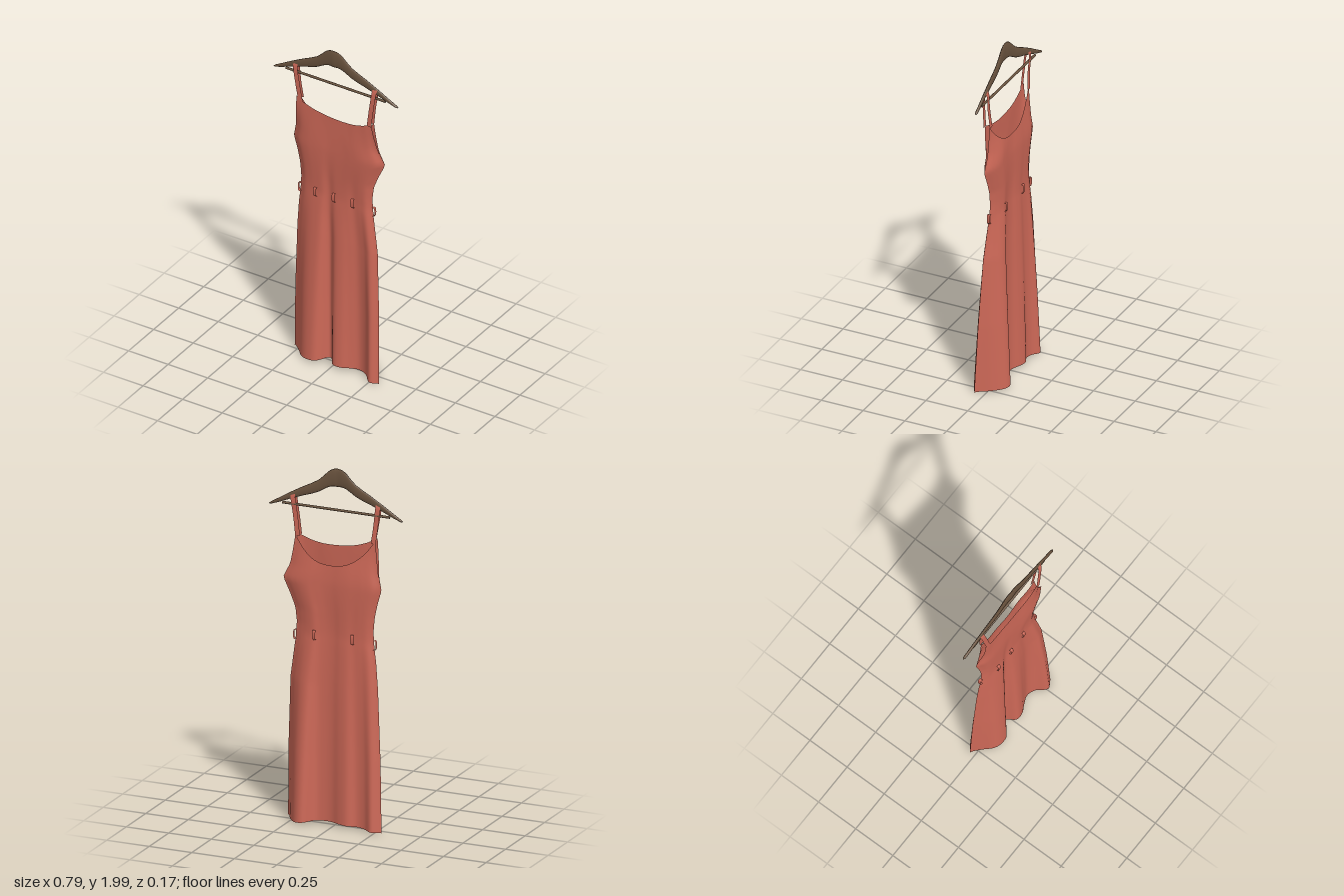
import * as THREE from 'three';

const V = (x, y, z) => new THREE.Vector3(x, y, z);
const { lerp, smoothstep } = THREE.MathUtils;

// Piecewise-linear lookup in rows of [key, ...values]
function lookup(rows, k, col) {
  for (let i = 1; i < rows.length; i++) {
    if (k <= rows[i][0]) {
      const a = rows[i - 1], b = rows[i];
      return lerp(a[col], b[col], Math.max(0, (k - a[0]) / (b[0] - a[0])));
    }
  }
  return rows[rows.length - 1][col];
}

// Grid surface: fn(u, v) gives a point, u runs across and v upwards
function surface(cols, rows, fn, closed = false) {
  const pos = [], idx = [], n = closed ? cols : cols + 1;
  for (let j = 0; j <= rows; j++)
    for (let i = 0; i < n; i++) pos.push(...fn(i / cols, j / rows).toArray());
  for (let j = 0; j < rows; j++)
    for (let i = 0; i < cols; i++) {
      const a = j * n + i, b = j * n + (i + 1) % n, c = a + n, d = b + n;
      idx.push(a, b, d, a, d, c);
    }
  const g = new THREE.BufferGeometry();
  g.setAttribute('position', new THREE.Float32BufferAttribute(pos, 3));
  g.setIndex(idx);
  g.computeVertexNormals();
  return g;
}

// Flat band along a curve, widened in one fixed direction
function ribbon(points, across, width, steps = 24) {
  const curve = new THREE.CatmullRomCurve3(points);
  return surface(2, steps, (u, v) => curve.getPoint(v).addScaledVector(across, (u - 0.5) * width));
}

const profile = (zs) => {
  const c = new THREE.SplineCurve(zs.map((z, i) => new THREE.Vector2(i, z)));
  return (u) => c.getPoint(u).y;
};

// Side edges of the dress: height, right edge x, left edge x
const outline = [
  [0, -0.285, 0.305], [0.4, -0.275, 0.295], [0.8, -0.255, 0.274], [0.95, -0.242, 0.25],
  [1.04, -0.229, 0.235], [1.12, -0.224, 0.228], [1.2, -0.231, 0.236], [1.28, -0.248, 0.268],
  [1.36, -0.271, 0.306], [1.4, -0.262, 0.287], [1.44, -0.252, 0.266], [1.52, -0.243, 0.25],
  [1.6, -0.235, 0.237], [1.65, -0.232, 0.235],
];

// Depth of each panel across its width at hem, waist, bust and neckline
const panels = {
  front: {
    hem: profile([-0.03, 0.01, 0.06, 0.078, 0.068, 0.002, 0.058, 0.06, 0.035, 0.018, 0.035, 0.083, 0.06]),
    waist: profile([0, 0.018, 0.025, 0.028, 0.028, 0.018, 0.025, 0.026, 0.024, 0.018, 0.02, 0.02, 0.005]),
    bust: profile([0, 0.026, 0.036, 0.038, 0.037, 0.034, 0.034, 0.035, 0.038, 0.039, 0.035, 0.024, 0]),
    top: profile([0.034, 0.036, 0.034, 0.032, 0.03, 0.03, 0.03, 0.03, 0.03, 0.032, 0.032, 0.032, 0.028]),
    neck: (u) => lerp(1.64, 1.612, u) - 0.056 * (1 - Math.pow(Math.abs(2 * u - 1), 2.4)),
  },
  back: {
    hem: profile([-0.03, -0.062, -0.036, -0.03, -0.05, -0.042, -0.022, -0.018, -0.03, -0.084, -0.078, -0.02, 0.06]),
    waist: profile([0, -0.012, -0.015, -0.016, -0.02, -0.018, -0.012, -0.012, -0.018, -0.027, -0.022, -0.01, 0.005]),
    bust: profile([0, -0.018, -0.024, -0.026, -0.028, -0.027, -0.024, -0.025, -0.03, -0.034, -0.03, -0.018, 0]),
    top: profile([0.005, 0, -0.004, -0.008, -0.012, -0.014, -0.014, -0.014, -0.012, -0.01, -0.006, -0.002, 0.002]),
    neck: (u) => lerp(1.635, 1.61, u) - 0.155 * (1 - Math.pow(Math.abs(2 * u - 1), 2.2)),
  },
};

function depth(p, u, y) {
  if (y < 1.06) return lerp(p.waist(u), p.hem(u), Math.pow((1.06 - y) / 1.06, 0.8));
  if (y < 1.37) return lerp(p.waist(u), p.bust(u), smoothstep(y, 1.06, 1.37));
  return lerp(p.bust(u), p.top(u), smoothstep(y, 1.35, 1.6));
}

function panelPoint(p, u, v) {
  const y = lerp(0.006 + 0.02 * Math.sin(Math.PI * u), p.neck(u), v);
  return V(lerp(lookup(outline, y, 1), lookup(outline, y, 2), u), y, depth(p, u, y));
}

// Hanger arm: |x|, top y, bottom y
const arch = [
  [0, 2.0, 1.897], [0.025, 1.997, 1.899], [0.05, 1.983, 1.893], [0.08, 1.952, 1.876], [0.11, 1.925, 1.858],
  [0.15, 1.902, 1.842], [0.2, 1.877, 1.826], [0.27, 1.838, 1.8], [0.34, 1.796, 1.772], [0.385, 1.769, 1.757], [0.393, 1.762, 1.759],
];

export function createModel() {
  const fabric = new THREE.MeshStandardMaterial({ color: 0xcd6857, side: THREE.DoubleSide });
  fabric.name = 'coral fabric';
  const wood = new THREE.MeshStandardMaterial({ color: 0x6b543f });
  wood.name = 'brown wood';

  const model = new THREE.Group();
  model.name = 'dressOnHanger';
  const add = (name, geometry, material) => {
    const m = new THREE.Mesh(geometry, material);
    m.name = name;
    model.add(m);
    return m;
  };

  // Dress panels, joined at the side seams and open at hem, neck and armholes
  add('frontPanel', surface(72, 72, (u, v) => panelPoint(panels.front, u, v)), fabric);
  add('backPanel', surface(72, 72, (u, v) => panelPoint(panels.back, 1 - u, v)), fabric);

  // Shoulder straps looped over the hanger
  for (const [name, side, hangX, frontX, backX, low] of [
    ['rightStrap', -1, -0.248, -0.207, -0.222, 1.615],
    ['leftStrap', 1, 0.255, 0.226, 0.222, 1.6],
  ]) {
    const mid = (x, t) => lerp(x, hangX, t);
    add(name, ribbon([
      V(frontX, low, 0.036), V(mid(frontX, 0.5), 1.72, 0.034), V(mid(frontX, 0.92), 1.815, 0.028),
      V(hangX, 1.842, 0.016),
      V(mid(backX, 0.92), 1.815, 0.005), V(mid(backX, 0.5), 1.72, 0.006), V(backX, low, 0.0),
    ], V(1, side * -0.25, 0).normalize(), 0.028, 36), fabric);
  }

  // Belt loops standing off the waist
  const beltLoop = (name, base, out, across) => {
    const at = (dy, d) => base.clone().add(V(0, dy, 0)).addScaledVector(out, d);
    add(name, ribbon([
      at(-0.025, -0.004), at(-0.026, 0.008), at(-0.015, 0.012), at(0.015, 0.012), at(0.026, 0.008), at(0.025, -0.004),
    ], across, 0.018, 20), fabric);
  };
  const onPanel = (p, x, y) => {
    const u = (x - lookup(outline, y, 1)) / (lookup(outline, y, 2) - lookup(outline, y, 1));
    return V(x, y, depth(p, u, y));
  };
  for (const x of [-0.115, 0, 0.115])
    beltLoop('frontBeltLoop', onPanel(panels.front, x, 1.067), V(0, 0, 1), V(1, 0, 0));
  for (const x of [-0.11, 0.11])
    beltLoop('backBeltLoop', onPanel(panels.back, x, 1.067), V(0, 0, -1), V(1, 0, 0));
  beltLoop('rightBeltLoop', V(-0.228, 1.047, 0), V(-1, 0, 0), V(0, 0, 1));
  beltLoop('leftBeltLoop', V(0.234, 1.047, 0.005), V(1, 0, 0), V(0, 0, 1));

  // Hanger arms: oval sections swept from end to end, bowed towards the front
  add('hangerArms', surface(16, 72, (u, v) => {
    const x = lerp(-0.393, 0.393, v), ax = Math.abs(x), a = u * Math.PI * 2;
    const top = lookup(arch, ax, 1), bottom = lookup(arch, ax, 2);
    const thick = ax > 0.39 ? 0.002 : 0.0075;
    const z = lerp(0.031, 0.008, Math.pow(ax / 0.393, 0.9));
    return V(x, (top + bottom) / 2 + Math.sin(a) * (top - bottom) / 2, z - Math.cos(a) * thick);
  }, true), wood);

  // Straight rail between the arms
  const rail = add('hangerRail', new THREE.CylinderGeometry(0.007, 0.007, 0.63, 12), wood);
  rail.rotation.z = Math.PI / 2;
  rail.position.set(0, 1.775, 0.01);

  return model;
}
